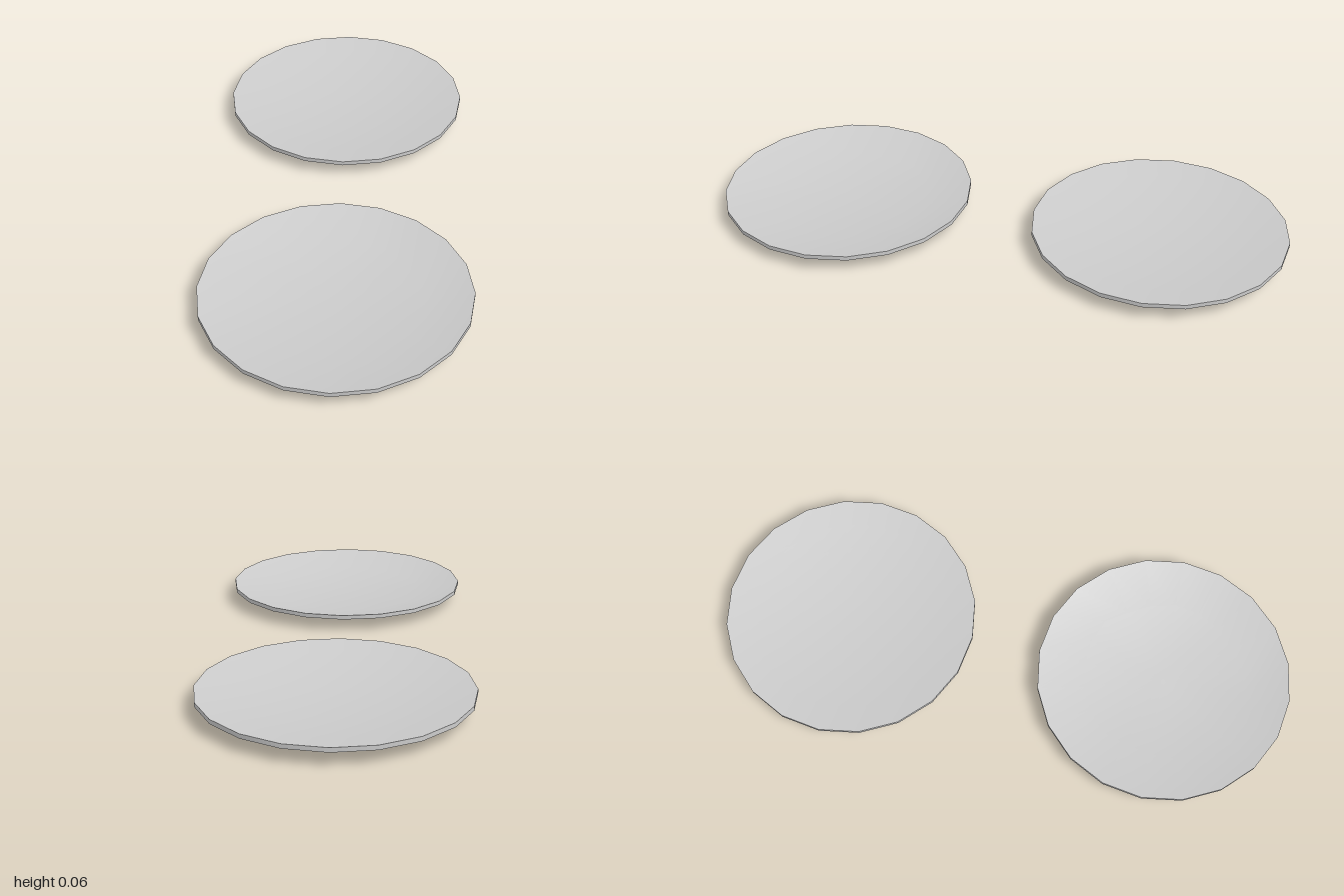
import * as THREE from 'three';
import { toCreasedNormals } from 'three/addons/utils/BufferGeometryUtils.js';

const SIDES = 20;
const RADIUS = 0.44;
const material = new THREE.MeshStandardMaterial({ color: 0xcccccc });

// Underside from the centre outwards: recess, foot ring, flared wall, rim edge
const underside = [
  [0, 0.01], [0.255, 0.01], [0.262, 0], [0.272, 0], [0.282, 0.01],
  [RADIUS, 0.045], [RADIUS, 0.06],
];

// Turns the shared underside plus an upper surface (rim to centre) into a plate
function plate(name, upper, z, wobble = 0) {
  const points = [...underside, ...upper].map(([r, y]) => new THREE.Vector2(r, y));
  const geometry = new THREE.LatheGeometry(points, SIDES);

  // Slightly uneven edge around the flat floor
  if (wobble) {
    const pos = geometry.attributes.position;
    const ring = underside.length;
    for (let i = 0; i <= SIDES; i++) {
      const k = i * points.length + ring;
      const a = (i / SIDES) * Math.PI * 2;
      const s = 1 + wobble * (Math.sin(5 * a + 1) + 0.6 * Math.sin(8 * a));
      pos.setXYZ(k, pos.getX(k) * s, pos.getY(k), pos.getZ(k) * s);
    }
  }

  const mesh = new THREE.Mesh(toCreasedNormals(geometry, 0.45), material);
  mesh.name = name;
  mesh.position.z = z;
  return mesh;
}

export function createModel() {
  const group = new THREE.Group();
  group.name = 'plates';

  // Front plate: sloping border around a flat floor
  group.add(plate('frontPlate', [[0.28, 0.025], [0, 0.025]], 0.56, 0.025));

  // Back plate: one continuous shallow dish
  const dish = [0.8, 0.6, 0.4, 0.2, 0].map((t) => [RADIUS * t, 0.022 + 0.038 * t * t]);
  group.add(plate('backPlate', dish, -0.56));

  return group;
}
